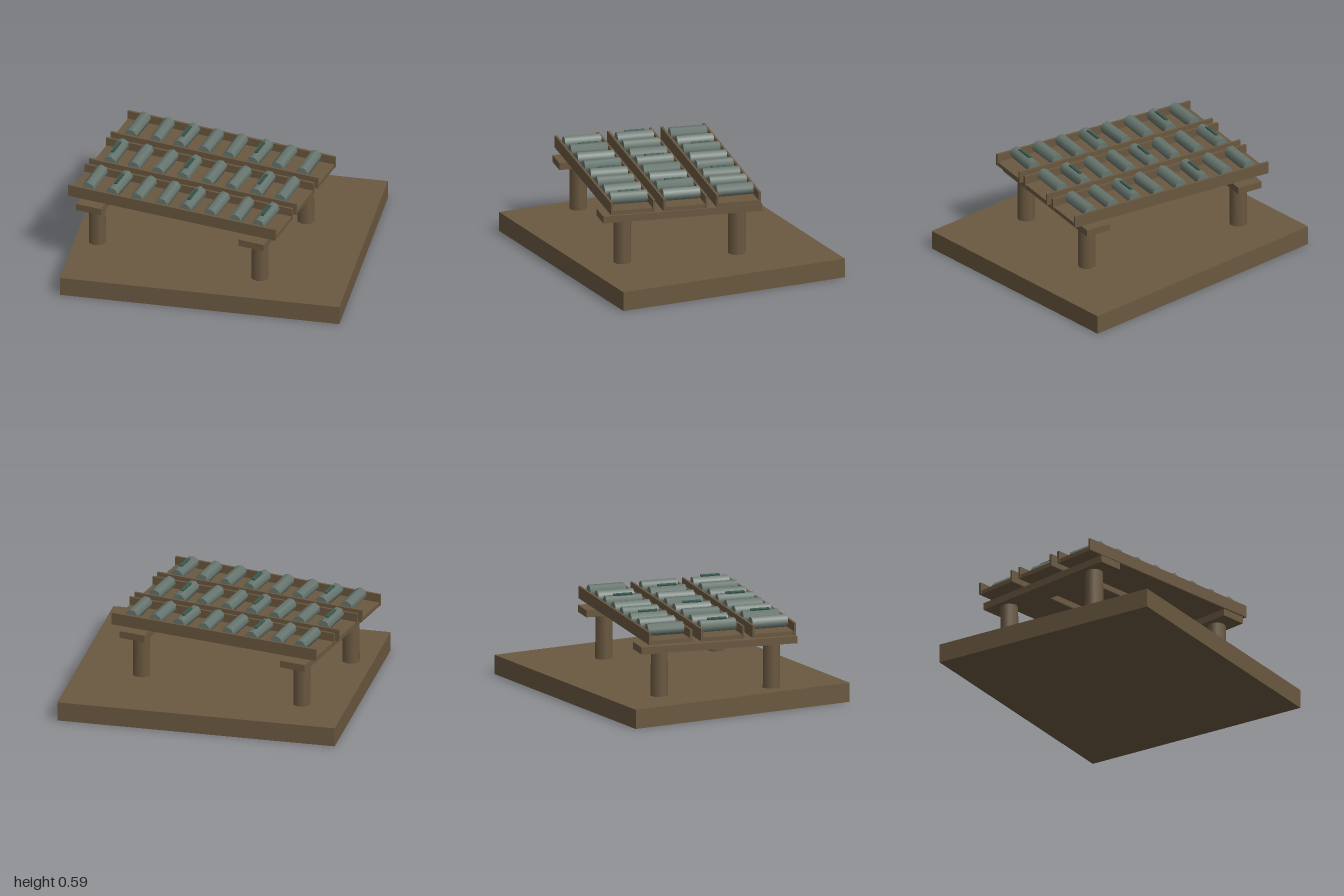
import * as THREE from 'three';

const wood = new THREE.MeshStandardMaterial({ color: 0x6a5840 });
wood.name = 'brown wood';
const metal = new THREE.MeshStandardMaterial({ color: 0x68766f });
metal.name = 'grey green metal';
const mark = new THREE.MeshStandardMaterial({ color: 0x34574c });
mark.name = 'dark green';

function add(parent, name, geometry, material, x, y, z) {
  const mesh = new THREE.Mesh(geometry, material);
  mesh.name = name;
  mesh.position.set(x, y, z);
  parent.add(mesh);
  return mesh;
}

export function createModel() {
  const model = new THREE.Group();
  model.name = 'castingTable';

  // Ground slab, turned against the table
  const slab = add(model, 'baseSlab', new THREE.BoxGeometry(1.735, 0.12, 1.5), wood, 0, 0.06, 0);
  slab.rotation.y = 0.2;

  // Two trestles: a cross beam on a pair of posts
  const postGeometry = new THREE.CylinderGeometry(0.054, 0.056, 0.28, 8);
  const beamGeometry = new THREE.BoxGeometry(0.165, 0.044, 1);
  for (const x of [-0.66, 0.415]) {
    const trestle = new THREE.Group();
    trestle.name = 'trestle';
    model.add(trestle);
    add(trestle, 'crossBeam', beamGeometry, wood, x, 0.422, 0.06);
    for (const z of [0.42, -0.3]) add(trestle, 'post', postGeometry, wood, x, 0.26, z);
  }

  // Three long trays, each with two side rails and eight bars
  const floorGeometry = new THREE.BoxGeometry(1.365, 0.025, 0.27);
  const railGeometry = new THREE.BoxGeometry(1.372, 0.076, 0.015);
  const barGeometry = new THREE.CylinderGeometry(0.04, 0.04, 0.23, 7).rotateX(Math.PI / 2);
  const markGeometry = new THREE.BoxGeometry(0.02, 0.009, 0.12);
  const markStart = [2, 0, 1]; // first marked bar in each tray, back to front
  [-0.275, 0.06, 0.39].forEach((z, row) => {
    const tray = new THREE.Group();
    tray.name = 'tray';
    tray.position.set(-0.122, 0, z);
    tray.rotation.z = (row - 1) * 0.003;
    model.add(tray);
    add(tray, 'trayFloor', floorGeometry, wood, 0, 0.482, 0);
    for (const side of [-1, 1]) add(tray, 'sideRail', railGeometry, wood, 0, 0.509, side * 0.132);

    for (let i = 0; i < 8; i++) {
      const x = -0.565 + i * 0.1614;
      // Bars lie slightly askew, each rolled a little differently
      const bar = add(tray, 'bar', barGeometry, metal, x, 0.538, 0);
      bar.rotation.set(0, 0.03 * Math.sin(i * 2.1 + row), i * 0.4 + row * 0.25);
      bar.rotation.order = 'YXZ';
      // Every third bar carries a narrow strip
      if (i % 3 === markStart[row]) {
        const strip = add(tray, 'barStrip', markGeometry, mark, x, 0.58, 0);
        strip.rotation.z = 0.25;
      }
    }
  });
  return model;
}
